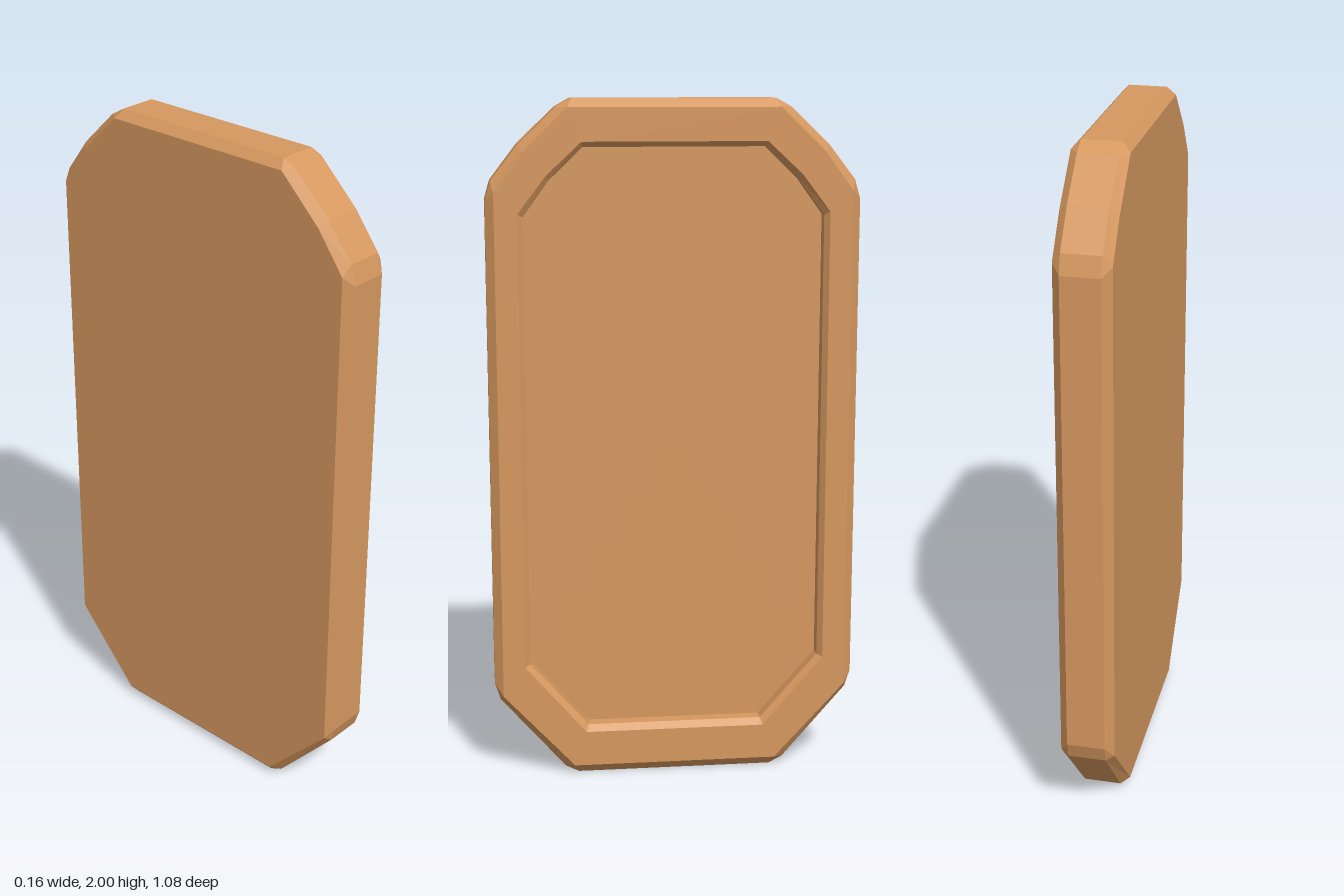
import * as THREE from 'three';

// Half outlines as [z, y], from the top edge down the +z side to the bottom edge
const OUTER = [[0.29, 2], [0.335, 1.975], [0.445, 1.87], [0.522, 1.77], [0.538, 1.715],
  [0.538, 0.29], [0.522, 0.24], [0.33, 0.02], [0.29, 0]];
const FACE = [[0.303, 1.975], [0.43, 1.852], [0.513, 1.74], [0.513, 0.255], [0.303, 0.028]];
const OPENING = [[0.265, 1.88], [0.367, 1.785], [0.447, 1.68], [0.447, 0.342], [0.267, 0.133]];
const FLOOR = [[0.262, 1.865], [0.358, 1.772], [0.432, 1.67], [0.432, 0.348], [0.26, 0.152]];

// Five-point outlines repeat their corners so that they match the nine outer points
const match = (half) => [0, 0, 1, 2, 2, 3, 3, 4, 4].map((i) => half[i]);

// Closed ring at a given x, mirrored across z
function ring(half, x) {
  const right = half.map(([z, y]) => [-z, y]).reverse();
  return [...half, ...right].map(([z, y]) => new THREE.Vector3(x, y, z));
}

// Ring collapsed to the middle, for closing a face
const centre = (x) => ring(OUTER.map(() => [0, 1]), x);

// Skin consecutive rings with triangles, skipping collapsed ones
function loft(rings) {
  const pos = [];
  const tri = (a, b, c) => {
    if (new THREE.Triangle(a, b, c).getArea() > 1e-8) {
      for (const p of [a, b, c]) pos.push(p.x, p.y, p.z);
    }
  };
  for (let r = 0; r < rings.length - 1; r++) {
    const a = rings[r], b = rings[r + 1];
    for (let i = 0; i < a.length; i++) {
      const j = (i + 1) % a.length;
      tri(a[i], a[j], b[j]);
      tri(a[i], b[j], b[i]);
    }
  }
  const geo = new THREE.BufferGeometry();
  geo.setAttribute('position', new THREE.Float32BufferAttribute(pos, 3));
  geo.computeVertexNormals();
  return geo;
}

export function createModel() {
  const group = new THREE.Group();
  group.name = 'panel';
  const material = new THREE.MeshStandardMaterial({ color: 0xd6985f, flatShading: true });
  const add = (name, rings) => {
    const mesh = new THREE.Mesh(loft(rings), material);
    mesh.name = name;
    group.add(mesh);
  };

  const face = match(FACE), opening = match(OPENING), floor = match(FLOOR);

  // Flat back, bevelled edge and raised rim
  add('body', [
    centre(-0.079), ring(face, -0.079), ring(OUTER, -0.055),
    ring(OUTER, 0.055), ring(face, 0.079), ring(opening, 0.079),
  ]);
  // Bevelled lip, straight wall and floor of the recess on +x
  add('recess', [
    ring(opening, 0.079), ring(floor, 0.064), ring(floor, 0.025), centre(0.025),
  ]);
  return group;
}
